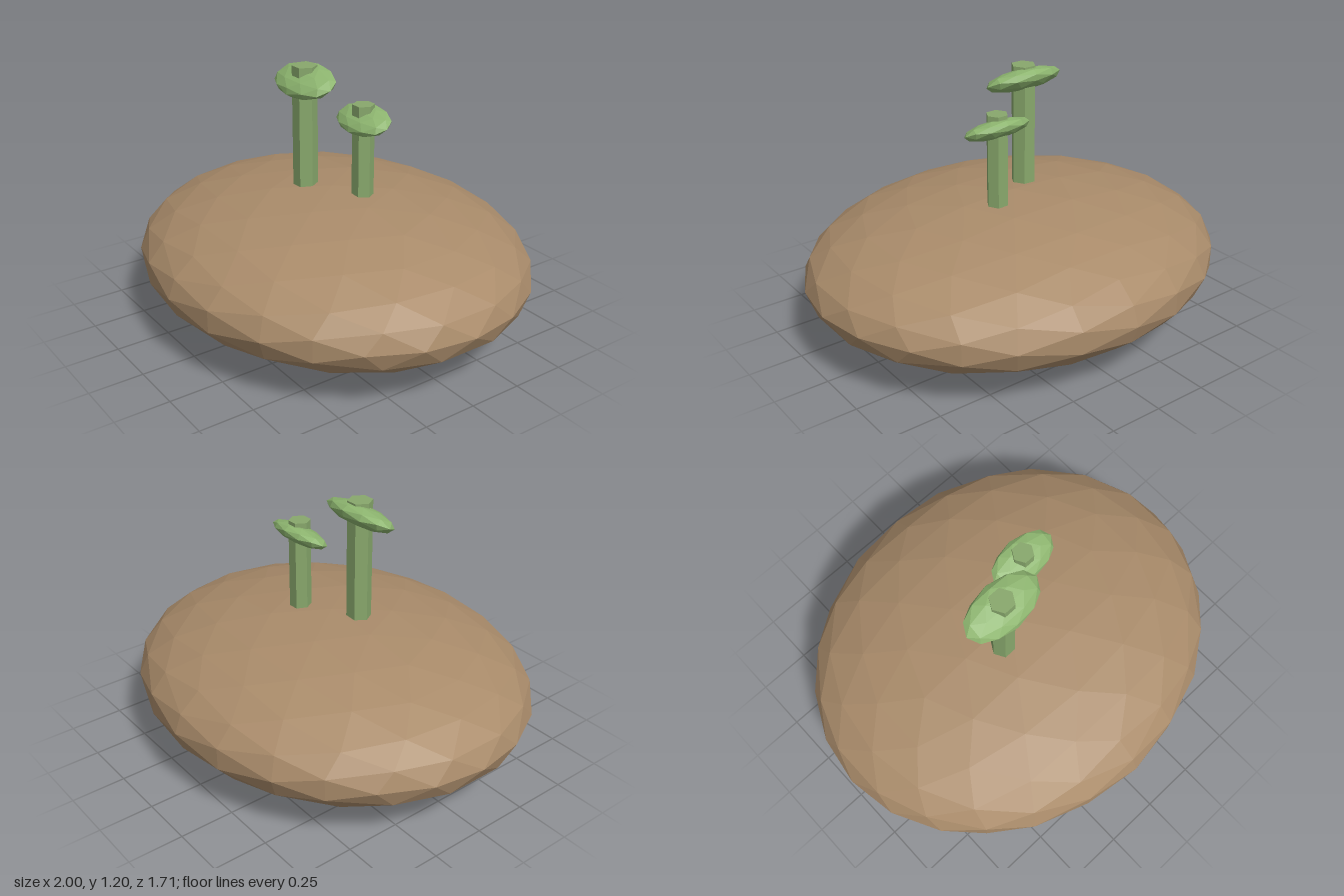
import * as THREE from 'three';

// Faceted ball: an icosahedron whose edges are halved and pushed onto the sphere
function facetedBall(levels) {
  let geometry = new THREE.IcosahedronGeometry(1, 0);
  for (let l = 0; l < levels; l++) {
    const p = geometry.attributes.position;
    const out = [];
    for (let i = 0; i < p.count; i += 3) {
      const [a, b, c] = [0, 1, 2].map(k => new THREE.Vector3().fromBufferAttribute(p, i + k));
      const mid = (u, v) => u.clone().add(v).normalize();
      const ab = mid(a, b), bc = mid(b, c), ca = mid(c, a);
      for (const v of [a, ab, ca, ab, b, bc, ca, bc, c, ab, bc, ca]) out.push(v.x, v.y, v.z);
    }
    geometry = new THREE.BufferGeometry();
    geometry.setAttribute('position', new THREE.Float32BufferAttribute(out, 3));
  }
  geometry.computeVertexNormals();
  return geometry;
}

function makeMaterial(name, color) {
  const material = new THREE.MeshStandardMaterial({ color, flatShading: true });
  material.name = name;
  return material;
}

export function createModel() {
  const model = new THREE.Group();
  model.name = 'sproutingTuber';
  const skin = makeMaterial('tuberBrown', 0xa98b6a);
  const stemGreen = makeMaterial('stemGreen', 0x88a86c);
  const leafGreen = makeMaterial('leafGreen', 0x8db56f);

  // Flattened tuber body
  const body = new THREE.Mesh(facetedBall(2), skin);
  body.name = 'body';
  body.scale.set(1, 0.32, 0.855);
  body.position.y = 0.325;
  model.add(body);

  // Each sprout: a six-sided stem passing through a forward-tilted leaf
  const leafGeometry = facetedBall(1);
  const stemBase = 0.45;
  const addSprout = (name, x, z, top, radius, leafY, leafSize) => {
    const sprout = new THREE.Group();
    sprout.name = name;
    sprout.position.set(x, 0, z);

    const height = top - stemBase;
    const stem = new THREE.Mesh(new THREE.CylinderGeometry(radius, radius, height, 6), stemGreen);
    stem.name = 'stem';
    stem.position.y = stemBase + height / 2;
    stem.rotation.y = Math.PI / 6;

    const leaf = new THREE.Mesh(leafGeometry, leafGreen);
    leaf.name = 'leaf';
    leaf.scale.set(...leafSize);
    leaf.position.y = leafY;
    leaf.rotation.x = 0.45;

    sprout.add(stem, leaf);
    model.add(sprout);
  };
  addSprout('tallSprout', -0.11, 0.07, 1.2, 0.057, 1.13, [0.197, 0.049, 0.11]);
  addSprout('shortSprout', 0.14, -0.07, 1.06, 0.05, 0.99, [0.167, 0.042, 0.094]);

  return model;
}
